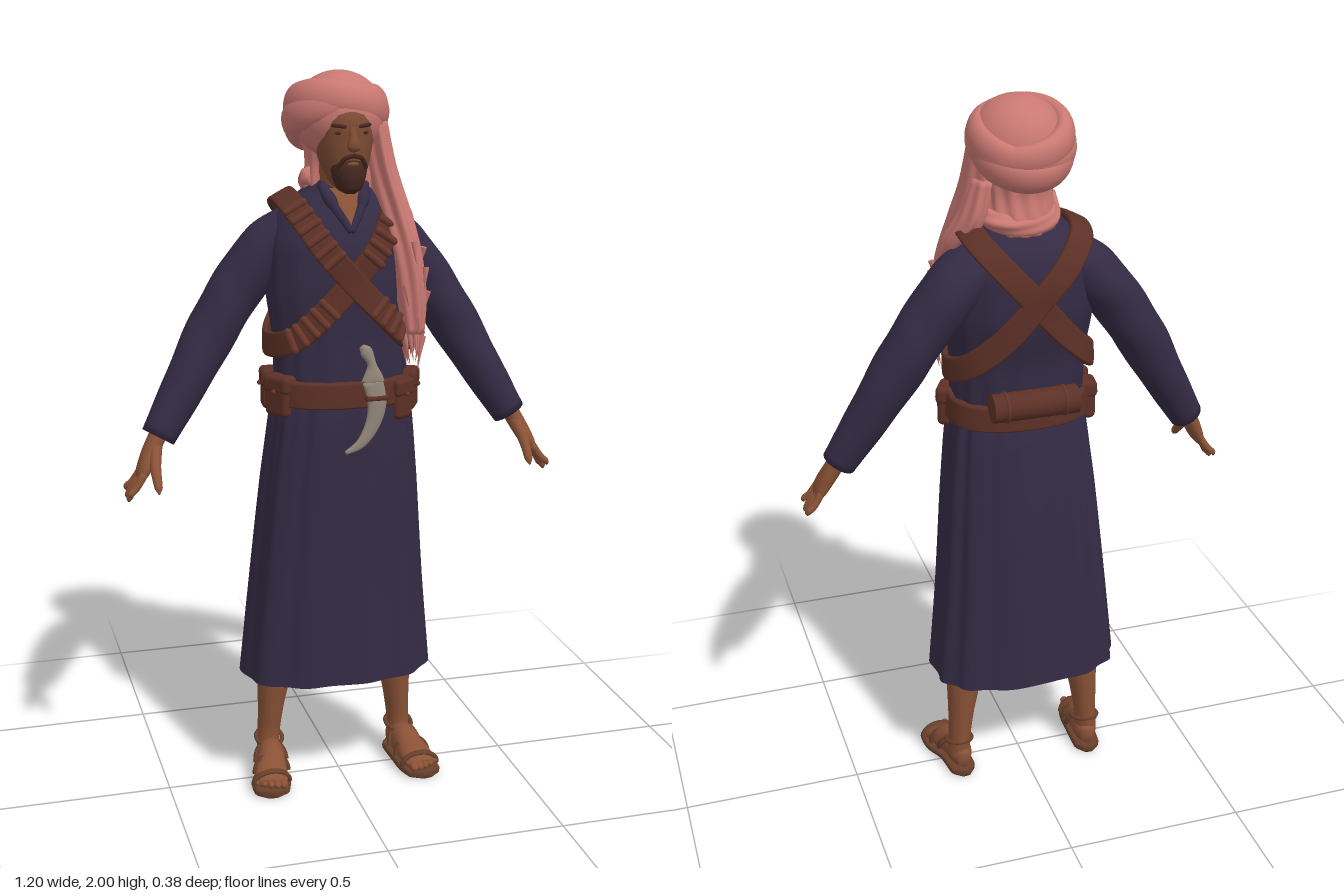
import * as THREE from 'three';
import { RoundedBoxGeometry } from 'three/addons/geometries/RoundedBoxGeometry.js';

const V = (x, y, z) => new THREE.Vector3(x, y, z);
const mat = (name, color, double) => {
  const m = new THREE.MeshStandardMaterial({ color });
  m.name = name;
  if (double) m.side = THREE.DoubleSide;
  return m;
};

// Frame on a curve: tangent t, n1 nearest to ref, n2 = t x n1
function frame(curve, u, ref, fixed) {
  const p = curve.getPoint(u);
  const t = fixed ? fixed.clone() : curve.getTangent(u);
  const r = typeof ref === 'function' ? ref(p) : ref.clone();
  const n1 = r.addScaledVector(t, -r.dot(t)).normalize();
  return { p, n1, n2: t.clone().cross(n1) };
}

// Skin through sections [x, y, z, r1, r2]; r1 lies along ref, r2 across it
function loft(sections, { ref = V(0, 0, 1), fixed, closed = false, seg = 24, sides = 20, pow = 2, ripple, caps = true } = {}) {
  const path = new THREE.CatmullRomCurve3(sections.map(s => V(s[0], s[1], s[2])), closed);
  const radii = new THREE.CatmullRomCurve3(sections.map(s => V(s[3], s[4], 0)), closed);
  const pos = [], index = [], rings = closed ? seg : seg + 1;
  const bend = c => Math.sign(c) * Math.abs(c) ** (2 / pow);
  for (let i = 0; i < rings; i++) {
    const u = i / seg, { p, n1, n2 } = frame(path, u, ref, fixed), r = radii.getPoint(u);
    for (let j = 0; j < sides; j++) {
      const a = j / sides * Math.PI * 2, k = ripple ? ripple(a, u) : 1;
      const q = p.clone().addScaledVector(n1, bend(Math.cos(a)) * r.x * k).addScaledVector(n2, bend(Math.sin(a)) * r.y * k);
      pos.push(q.x, q.y, q.z);
    }
  }
  for (let i = 0; i < seg; i++) for (let j = 0; j < sides; j++) {
    const i2 = (i + 1) % rings, j2 = (j + 1) % sides;
    const a = i * sides + j, b = i * sides + j2, c = i2 * sides + j2, d = i2 * sides + j;
    index.push(a, b, d, b, c, d);
  }
  if (caps && !closed) for (const end of [0, 1]) {
    const p = path.getPoint(end), base = end * seg * sides, n = pos.length / 3;
    pos.push(p.x, p.y, p.z);
    for (let j = 0; j < sides; j++) {
      const a = base + j, b = base + (j + 1) % sides;
      index.push(n, end ? a : b, end ? b : a);
    }
  }
  const g = new THREE.BufferGeometry();
  g.setAttribute('position', new THREE.Float32BufferAttribute(pos, 3));
  g.setIndex(index);
  g.computeVertexNormals();
  return g;
}

export function createModel() {
  const root = new THREE.Group();
  root.name = 'robedMan';
  const robe = mat('robe indigo', 0x342b44, true), skin = mat('skin', 0x8a5236), face = mat('weathered face', 0x7c4b33);
  const cloth = mat('rose headcloth', 0xc97872, true), leather = mat('leather', 0x5c3026), brass = mat('cartridge brown', 0x66362a);
  const hair = mat('beard', 0x452720), bone = mat('sheath silver', 0x93877a), sandal = mat('sandal leather', 0x68402c);
  const add = (name, geometry, material, x = 0, y = 0, z = 0, parent = root) => {
    const m = new THREE.Mesh(geometry, material);
    m.name = name;
    m.position.set(x, y, z);
    parent.add(m);
    return m;
  };
  const UP = V(0, 1, 0);

  // Robe: pleats run from belt to hem
  add('robeSkirt', loft([[-.01, .33, -.008, .167, .268], [-.008, .6, -.005, .163, .242], [-.003, .9, .004, .156, .215],
    [0, 1.08, .012, .147, .195], [0, 1.17, .014, .134, .18]], { fixed: UP, seg: 30, sides: 120, pow: 2.5, caps: false,
    ripple: (a, u) => 1 + (.024 - .006 * u) * Math.sin(11 * a + .8 * Math.sin(3 * a)) + .014 * Math.sin(23 * a) * u }), robe);
  add('robeTorso', loft([[0, 1.16, .014, .134, .18], [0, 1.3, .007, .135, .183], [0, 1.45, -.008, .153, .198], [0, 1.55, -.013, .15, .195],
    [0, 1.62, -.018, .13, .17], [0, 1.665, -.016, .1, .125], [0, 1.7, -.012, .08, .08], [0, 1.72, -.01, .068, .062]],
    { fixed: UP, seg: 36, sides: 72, pow: 2.3, ripple: (a, u) => 1 + .02 * (1 - u) ** 2 * Math.sin(15 * a) }), robe);
  add('neckOpening', loft([[0, 1.7, .066, .006, .045], [0, 1.65, .1, .006, .028], [0, 1.6, .13, .006, .002]], {}), skin);
  add('neck', loft([[0, 1.62, -.01, .06, .058], [0, 1.78, .03, .06, .058]]), skin);

  for (const s of [1, -1]) {
    const side = s > 0 ? 'left' : 'right', S = rows => rows.map(r => [r[0] * s, ...r.slice(1)]);
    add(side + 'Collar', loft(S([[.06, 1.71, .045, .01, .012], [.036, 1.655, .098, .01, .012], [0, 1.595, .132, .008, .01]]), { sides: 10 }), robe);
    // Arm and hand
    add(side + 'Sleeve', loft(S([[.1, 1.605, -.03, .085, .055], [.18, 1.535, -.052, .09, .075], [.26, 1.44, -.056, .08, .072],
      [.335, 1.325, -.048, .073, .07], [.417, 1.185, -.025, .061, .06], [.502, 1.043, 0, .046, .047]]),
      { seg: 40, sides: 28, ripple: (a, u) => 1 + .02 * Math.sin(26 * u + 2 * a) * Math.sin(Math.PI * u) }), robe);
    add(side + 'Palm', loft(S([[.492, 1.07, 0, .028, .024], [.525, 1.01, .014, .033, .023], [.548, .965, .03, .041, .019], [.56, .94, .034, .036, .012]])), skin);
    for (let i = 0; i < 4; i++) {
      const z = .063 - i * .02, tip = .074 - i * .027, y = [.9, .882, .884, .9][i];
      add(side + 'Finger', loft(S([[.551, .96, z, .011, .011], [.577, .922, (z + tip) / 2, .011, .0105], [.591, y + .01, tip, .009, .009], [.593, y, tip, .002, .002]]), { sides: 8, seg: 10 }), skin);
    }
    add(side + 'Thumb', loft(S([[.512, 1.025, .02, .018, .02], [.522, .98, .07, .015, .016], [.522, .935, .113, .011, .011], [.522, .92, .124, .002, .002]]), { sides: 10, seg: 12, ref: V(1, 0, 0) }), skin);
    // Leg, foot and sandal
    add(side + 'Leg', loft(S([[.17, .55, -.035, .055, .055], [.178, .33, -.045, .056, .051], [.19, .2, -.05, .046, .037], [.197, .11, -.052, .038, .032], [.2, .05, -.045, .04, .034]])), skin);
    const toAxis = { ref: V(1, 0, 0) };
    add(side + 'Foot', loft(S([[.193, .05, -.095, .018, .026], [.196, .055, -.06, .034, .042], [.202, .06, 0, .039, .05],
      [.214, .045, .055, .046, .034], [.222, .034, .095, .046, .022], [.226, .03, .115, .036, .015]]), toAxis), skin);
    for (let i = 0; i < 5; i++) {
      const toe = add(side + 'Toe', new THREE.SphereGeometry(.013 - i * .001, 10, 8), skin, s * (.194 + i * .0175), .032, .122 - i * i * .0018);
      toe.scale.z = 1.5;
    }
    add(side + 'Sole', loft(S([[.192, .012, -.105, .015, .012], [.195, .012, -.08, .038, .012], [.202, .012, 0, .043, .012],
      [.218, .012, .07, .056, .012], [.226, .012, .12, .05, .012], [.228, .012, .14, .02, .012]]), { ...toAxis, pow: 4 }), sandal);
    [[.202, .055, 0, .046, .05, -.5], [.211, .045, .045, .049, .042, -.2], [.221, .034, .088, .052, .03, .2]].forEach(([x, y, z, rx, ry, tilt]) => {
      const band = add(side + 'SandalStrap', new THREE.TorusGeometry(1, .14, 8, 28, Math.PI), sandal, s * x, y - .01, z);
      band.scale.set(rx, ry + .008, .07);
      band.rotation.x = tilt;
    });
    const ankle = add(side + 'AnkleStrap', new THREE.TorusGeometry(.038, .006, 8, 28), sandal, s * .197, .1, -.045);
    ankle.rotation.x = Math.PI / 2 + .25;
    ankle.scale.y = 1.12;
    // Brow and eye
    const brow = add(side + 'Brow', new THREE.CapsuleGeometry(.005, .03, 4, 8), hair, s * .034, 1.866, .132);
    brow.rotation.set(0, s * .35, Math.PI / 2 + s * .12);
    const eye = add(side + 'Eye', new THREE.SphereGeometry(.012, 12, 8), hair, s * .033, 1.848, .13);
    eye.scale.set(1, .4, .4);
    add(side + 'Moustache', loft(S([[0, 1.792, .15, .006, .006], [.022, 1.785, .147, .006, .006], [.038, 1.76, .132, .006, .006]]), { ref: UP, sides: 8 }), hair);
  }

  // Head
  add('head', loft([[0, 1.695, .085, .02, .02], [0, 1.715, .08, .048, .042], [0, 1.76, .058, .082, .062], [0, 1.82, .048, .094, .076],
    [0, 1.88, .04, .1, .08], [0, 1.95, .02, .07, .06]], { fixed: UP, sides: 28 }), face);
  add('nose', loft([[0, 1.87, .128, .01, .009], [0, 1.84, .143, .012, .011], [0, 1.815, .15, .015, .018], [0, 1.805, .143, .008, .012]], { sides: 12 }), face);
  add('beard', loft([[0, 1.692, .115, .014, .014], [0, 1.705, .108, .038, .032], [0, 1.735, .095, .058, .046], [0, 1.762, .085, .064, .052],
    [0, 1.78, .07, .07, .05]], { fixed: UP, sides: 28 }), hair);
  add('lowerLip', new THREE.SphereGeometry(.012, 10, 8), face, 0, 1.77, .146).scale.set(1.3, .45, .5);

  // Headcloth: smooth crown, tilted wound bands, neck drape and long tail
  const crown = add('turbanCrown', new THREE.SphereGeometry(.122, 40, 28), cloth, 0, 1.884, .002);
  crown.scale.set(1, .95, 1.06);
  [[-.006, 1.888, -.014, .117, .118, .026, .34, .14], [-.002, 1.898, -.014, .112, .118, .028, .3, -.2], [-.004, 1.868, -.022, .108, .114, .027, .46, .04]].forEach(([x, y, z, rx, rz, r, tx, tz]) => {
    const g = new THREE.TorusGeometry(1, r / rx, 18, 56).rotateX(Math.PI / 2);
    const roll = add('turbanBand', g, cloth, x, y, z);
    roll.scale.set(rx, rx * 1.65, rz);
    roll.rotation.set(-tx, 0, tz);
  });
  add('neckDrape', loft([[.008, 1.665, -.04, .085, .08], [.01, 1.7, -.035, .09, .097], [.01, 1.76, -.03, .083, .09], [.008, 1.83, -.025, .1, .097], [0, 1.88, -.02, .11, .11]],
    { fixed: UP, sides: 64, ripple: (a, u) => 1 + .04 * Math.sin(13 * a + 8 * u) }), cloth);
  add('neckFold', loft([[-.085, 1.73, .0, .022, .018], [-.06, 1.695, -.09, .025, .02], [.02, 1.69, -.11, .025, .022], [.1, 1.71, -.06, .025, .022], [.1, 1.73, .02, .025, .02]],
    { ref: UP, sides: 28, ripple: (a, u) => 1 + .1 * Math.sin(5 * a + 14 * u) }), cloth);
  const fold = n => (a, u) => 1 + .11 * Math.sin(n * a + 3 * u);
  add('scarfTail', loft([[.092, 1.87, .012, .068, .03], [.106, 1.76, .03, .073, .034], [.13, 1.65, .07, .064, .038], [.153, 1.54, .11, .05, .038],
    [.167, 1.42, .125, .044, .036], [.172, 1.32, .132, .035, .026]], { fixed: V(0, -1, 0), seg: 36, sides: 48, ripple: fold(6) }), cloth);
  add('scarfShoulderFold', loft([[.1, 1.8, -.03, .05, .025], [.13, 1.7, -.025, .06, .033], [.165, 1.63, .01, .05, .03], [.185, 1.55, .06, .025, .018]],
    { fixed: V(0, -1, 0), sides: 40, ripple: fold(7) }), cloth);
  for (let i = 0; i < 22; i++) {
    const a = i * 2.4, low = i < 12, y = low ? 1.3 - (i % 4) * .012 : 1.56 - (i - 12) * .023;
    const tassel = add('scarfFringe', new THREE.ConeGeometry(.009, low ? .09 : .06, 6), cloth,
      .17 + (low ? .02 : .036) * Math.sin(a), y, .13 + (low ? .026 : .04) * Math.cos(a));
    tassel.rotation.set(Math.PI - .25 * Math.cos(a), 0, .2 * Math.sin(a));
  }

  // Crossed cartridge straps, hugging chest, shoulder and back
  const outward = p => V(p.x, Math.max(0, p.y - 1.5) * 1.6, p.z);
  for (const s of [-1, 1]) {
    const e = s < 0 ? .006 : 0;
    const rows = [[.145, 1.675, -.03], [.125, 1.635, .08], [.072, 1.55, .138 + e], [0, 1.465, .15 + e], [-.08, 1.38, .147 + e], [-.152, 1.31, .11], [-.2, 1.285, 0],
      [-.168, 1.315, -.095], [-.085, 1.4, -.152 - e], [0, 1.5, -.171 - e], [.08, 1.59, -.163 - e], [.135, 1.655, -.115]]
      .map(([x, y, z]) => [x * s, y, z, .009, .034]);
    add('bandolier', loft(rows, { ref: outward, closed: true, seg: 96, sides: 16, pow: 5 }), leather);
    const path = new THREE.CatmullRomCurve3(rows.map(r => V(r[0], r[1], r[2])), true);
    for (let i = 0; i < 15; i++) {
      const k = .8 + i * .3;
      if (Math.abs(k - 3) < .55) continue;
      const { p, n1, n2 } = frame(path, k / 12, outward);
      const c = p.addScaledVector(n1, .011);
      const round = add('cartridge', new THREE.CapsuleGeometry(.0105, .052, 4, 10), brass, c.x, c.y, c.z);
      round.quaternion.setFromUnitVectors(UP, n2);
    }
  }

  // Belt, pouches and bedroll
  add('belt', loft([[0, 1.127, .014, .148, .194], [0, 1.132, .014, .153, .199], [0, 1.193, .014, .15, .194], [0, 1.198, .014, .144, .189]],
    { fixed: UP, sides: 64, pow: 2.4 }), leather);
  [[.183, 1.145, .06, 1.1, .075], [.14, 1.135, .122, .55, .065], [-.18, 1.15, .07, -1, .085], [-.188, 1.15, -.03, -1.7, .06]].forEach(([x, y, z, turn, w]) => {
    const pouch = new THREE.Group();
    pouch.name = 'pouch';
    pouch.position.set(x, y, z);
    pouch.rotation.y = turn;
    add('pouchBody', new RoundedBoxGeometry(w, .105, .045, 3, .016), leather, 0, 0, 0, pouch);
    add('pouchFlap', new RoundedBoxGeometry(w + .006, .05, .052, 3, .014), leather, 0, .036, 0, pouch);
    add('pouchStud', new THREE.SphereGeometry(.007, 8, 6), brass, 0, .018, .026, pouch);
    root.add(pouch);
  });
  const roll = add('bedroll', new THREE.CylinderGeometry(.039, .039, .235, 24), leather, 0, 1.212, -.149);
  roll.rotation.z = Math.PI / 2;
  for (const x of [-.08, .08]) {
    const tie = add('bedrollTie', new THREE.TorusGeometry(.038, .005, 8, 24), brass, x, 1.212, -.149);
    tie.rotation.y = Math.PI / 2;
  }

  // Curved dagger in a pale sheath
  add('daggerSheath', loft([[.05, 1.2, .166, .01, .028], [.061, 1.14, .168, .01, .026], [.048, 1.08, .167, .009, .02],
    [.015, 1.03, .167, .008, .013], [-.025, 1.008, .167, .004, .005]], { pow: 2.5 }), bone);
  add('daggerHilt', loft([[.02, 1.295, .162, .008, .008], [.032, 1.28, .163, .01, .017], [.046, 1.25, .164, .01, .012], [.05, 1.215, .166, .012, .026], [.05, 1.2, .166, .012, .032]]), bone);
  add('sheathBand', new RoundedBoxGeometry(.066, .014, .026, 2, .006), leather, .06, 1.155, .168);

  return root;
}
